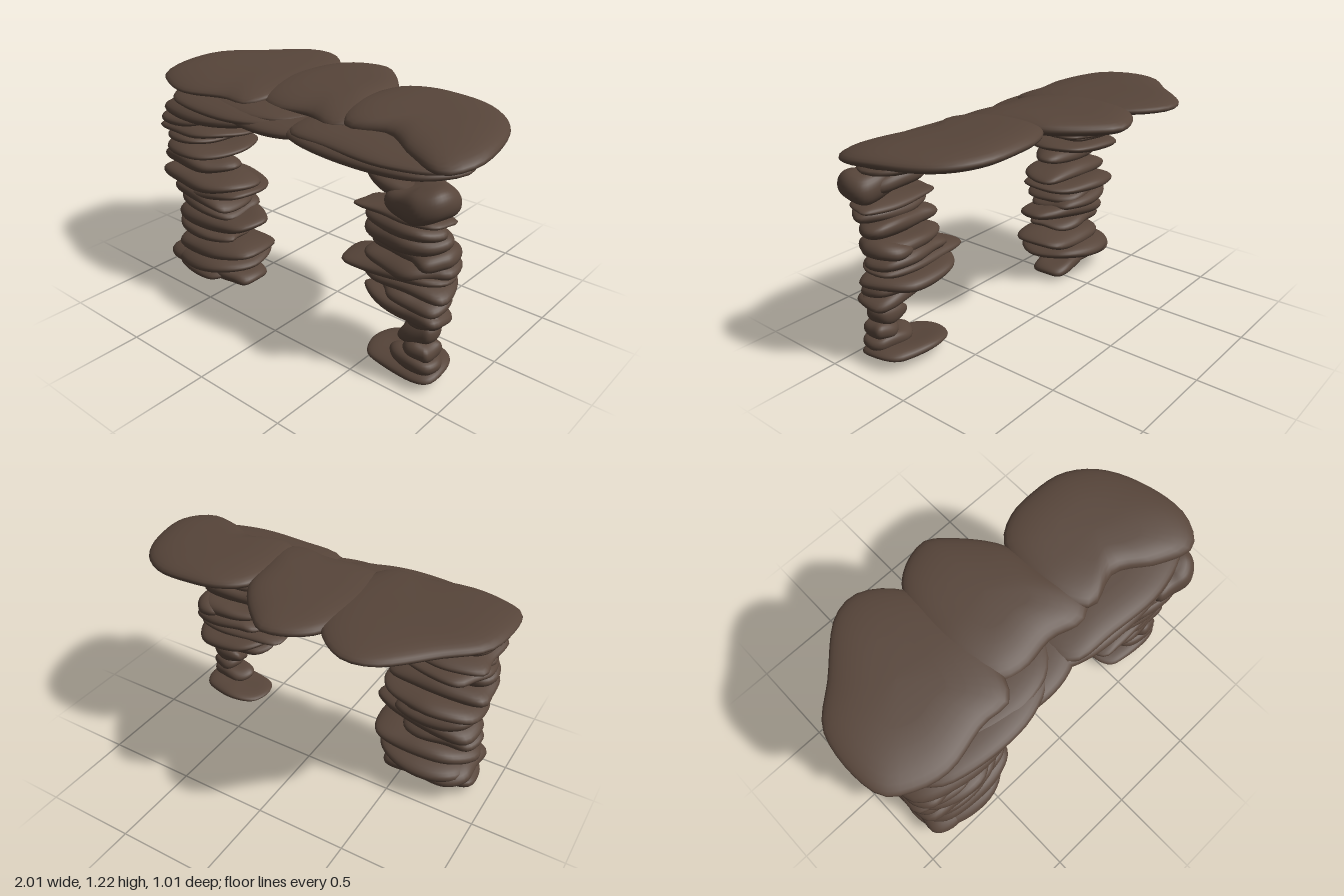
import * as THREE from 'three';

const rock = new THREE.MeshStandardMaterial({ color: 0x57453a });

// small seeded generator
function seeded(seed) {
  let s = seed * 7919 + 13;
  return () => {
    s = (s * 16807) % 2147483647;
    return s / 2147483647;
  };
}

// A smooth weathered slab: rounded rings that follow a closed outline of [x, z] points,
// listed clockwise from above. tiltX / tiltZ: rise over the full width / depth;
// taper: thinning towards +x or (negative) -x; droop: sinking of the front edge.
function slab(name, outline, y0, y1, { tiltX = 0, tiltZ = 0, taper = 0, droop = 0, seed = 1, wave = 0.08 } = {}) {
  const around = 48, rings = 16;
  const curve = new THREE.CatmullRomCurve3(outline.map(([x, z]) => new THREE.Vector3(x, 0, z)), true, 'centripetal');
  const edge = curve.getSpacedPoints(around).slice(0, around);
  const box = new THREE.Box3().setFromPoints(edge);
  const c = box.getCenter(new THREE.Vector3()), size = box.getSize(new THREE.Vector3());
  const mid = (y0 + y1) / 2, half = (y1 - y0) / 2;
  const positions = [], index = [];
  const put = (dx, dz, h) => {
    const u = (2 * dx) / size.x, v = (2 * dz) / size.z;
    const thick = half * (1 - Math.abs(taper) * Math.max(0, u * Math.sign(taper)));
    const swell = wave * half * 2 * Math.sin(u * 2.6 + seed * 1.7) * Math.cos(v * 2.3 + seed * 2.9);
    const lean = (tiltX * u + tiltZ * v) / 2 - droop * Math.max(0, v) ** 2;
    positions.push(c.x + dx, mid + h * thick + swell + lean, c.z + dz);
  };
  put(0, 0, -1);
  for (let i = 1; i < rings; i++) {
    const a = Math.PI * (i / rings - 0.5);
    const r = Math.pow(Math.cos(a), 0.5);
    for (const p of edge) put((p.x - c.x) * r, (p.z - c.z) * r, Math.sin(a));
  }
  put(0, 0, 1);
  const last = positions.length / 3 - 1;
  for (let j = 0; j < around; j++) {
    const k = (j + 1) % around;
    index.push(0, 1 + j, 1 + k);
    for (let i = 0; i < rings - 2; i++) {
      const a = 1 + i * around + j, b = 1 + i * around + k;
      index.push(a, a + around, b, b, a + around, b + around);
    }
    const top = 1 + (rings - 2) * around;
    index.push(last, top + k, top + j);
  }
  const geometry = new THREE.BufferGeometry();
  geometry.setAttribute('position', new THREE.Float32BufferAttribute(positions, 3));
  geometry.setIndex(index);
  geometry.computeVertexNormals();
  const mesh = new THREE.Mesh(geometry, rock);
  mesh.name = name;
  return mesh;
}

// An irregular rounded outline that fills the given rectangle
function boulderOutline(x0, x1, z0, z1, seed) {
  const rand = seeded(seed);
  const pts = [];
  for (let i = 0; i < 10; i++) {
    const a = (i / 10) * Math.PI * 2 + (rand() - 0.5) * 0.3;
    const r = 0.86 + rand() * 0.22;
    const power = (t) => Math.sign(t) * Math.pow(Math.abs(t), 0.75);
    pts.push([r * power(Math.cos(a)), r * power(Math.sin(a))]);
  }
  const fit = (axis, lo, hi) => {
    const v = pts.map((p) => p[axis]), a = Math.min(...v), b = Math.max(...v);
    for (const p of pts) p[axis] = lo + ((p[axis] - a) / (b - a)) * (hi - lo);
  };
  fit(0, x0, x1);
  fit(1, z0, z1);
  return pts;
}

// Stacked stones: [x0, x1, y0, y1, z0, z1, tiltX]
function pillar(name, stones, inward, seed) {
  const group = new THREE.Group();
  group.name = name;
  stones.forEach(([x0, x1, y0, y1, z0, z1, tiltX = 0], i) => {
    const s = seed + i;
    group.add(slab(`${name}Stone${i + 1}`, boulderOutline(x0, x1, z0, z1, s), y0, y1, {
      tiltX, tiltZ: 0.02 * Math.sin(s * 2.1), taper: 0.3 * inward, seed: s, wave: 0.1,
    }));
  });
  return group;
}

const RIGHT_STONES = [
  [-0.91, -0.52, 0.02, 0.11, 0.15, 0.43],
  [-0.69, -0.38, 0.01, 0.11, 0.13, 0.38, -0.03],
  [-0.9, -0.46, 0.09, 0.2, 0.06, 0.47, 0.02],
  [-0.89, -0.34, 0.11, 0.22, 0.03, 0.49, 0.04],
  [-0.9, -0.3, 0.18, 0.29, 0.1, 0.46, 0.06],
  [-0.9, -0.43, 0.27, 0.36, 0.15, 0.44],
  [-0.89, -0.3, 0.35, 0.46, 0.12, 0.43, 0.06],
  [-0.88, -0.44, 0.43, 0.53, 0.09, 0.43, -0.04],
  [-0.87, -0.44, 0.48, 0.58, 0.12, 0.44, -0.06],
  [-0.91, -0.35, 0.53, 0.62, 0.03, 0.43, 0.05],
  [-0.92, -0.36, 0.59, 0.69, 0.15, 0.47],
  [-0.92, -0.44, 0.68, 0.78, 0.21, 0.45],
  [-0.92, -0.42, 0.77, 0.85, 0.03, 0.49, 0.02],
  [-0.92, -0.55, 0.83, 0.9, 0.08, 0.46],
  [-0.92, -0.41, 0.87, 0.94, 0.03, 0.45, 0.03],
  [-0.91, -0.6, 0.92, 1.0, 0.1, 0.45],
];

const LEFT_STONES = [
  [0.48, 0.9, 0.03, 0.1, 0.13, 0.44],
  [0.63, 0.9, 0.07, 0.16, 0.26, 0.43],
  [0.72, 0.88, 0.14, 0.23, 0.27, 0.43],
  [0.68, 0.88, 0.21, 0.32, 0.26, 0.41, 0.04],
  [0.72, 0.9, 0.3, 0.39, 0.25, 0.41],
  [0.46, 0.91, 0.33, 0.42, 0.22, 0.43, -0.05],
  [0.56, 0.9, 0.39, 0.47, 0.2, 0.42, -0.03],
  [0.42, 0.91, 0.44, 0.53, 0.09, 0.42, -0.03],
  [0.34, 0.9, 0.5, 0.57, 0.16, 0.43, 0.02],
  [0.45, 0.91, 0.54, 0.63, 0.13, 0.43],
  [0.7, 0.91, 0.6, 0.69, 0.14, 0.42],
  [0.48, 0.89, 0.61, 0.7, 0.16, 0.4],
  [0.46, 0.9, 0.68, 0.78, 0.22, 0.45],
  [0.47, 0.9, 0.76, 0.84, 0.26, 0.47],
  [0.45, 0.91, 0.82, 0.87, 0.24, 0.45],
  [0.64, 0.94, 0.86, 1.02, 0.25, 0.5],
  [0.48, 0.86, 0.92, 1.02, 0.2, 0.44, -0.05],
];

export function createModel() {
  const model = new THREE.Group();
  model.name = 'stoneArch';
  model.add(pillar('rightPillar', RIGHT_STONES, 1, 11), pillar('leftPillar', LEFT_STONES, -1, 53));

  // lintel courses, stepping outwards towards the back
  const lintel = new THREE.Group();
  lintel.name = 'lintel';
  const course = (x0, x1, y0, y1, z0, z1, seed, opts) =>
    lintel.add(slab('lintelStone', boulderOutline(x0, x1, z0, z1, seed), y0, y1, { seed, wave: 0.06, ...opts }));
  course(-0.92, -0.18, 0.98, 1.08, 0.0, 0.48, 3, { tiltX: 0.04, tiltZ: -0.02 });
  course(-0.92, 0.03, 1.05, 1.13, -0.12, 0.48, 4, { tiltZ: -0.03 });
  course(-0.5, 0.3, 1.03, 1.12, -0.05, 0.45, 5, { tiltZ: -0.03 });
  course(-0.1, 0.93, 1.02, 1.11, 0.05, 0.47, 6, { tiltX: -0.01, tiltZ: -0.02 });
  course(0.0, 0.93, 1.06, 1.14, -0.12, 0.46, 7, { tiltZ: -0.04 });
  course(-0.75, 0.1, 1.08, 1.15, -0.24, 0.42, 8, { tiltZ: -0.04 });
  model.add(lintel);

  // three broad cap slabs
  const caps = new THREE.Group();
  caps.name = 'capSlabs';
  caps.add(
    slab('rightCap', [[-0.99, -0.09], [-0.82, -0.27], [-0.6, -0.48], [-0.46, -0.5], [-0.29, -0.37], [-0.2, -0.1],
      [-0.22, 0.22], [-0.29, 0.36], [-0.45, 0.36], [-0.7, 0.41], [-0.87, 0.37], [-0.99, 0.28]],
    1.125, 1.21, { tiltZ: -0.01, droop: 0.04, seed: 2, wave: 0.03 }),
    slab('middleCap', [[-0.3, -0.35], [-0.2, -0.45], [-0.05, -0.49], [0.03, -0.44], [0.21, -0.22], [0.26, 0],
      [0.31, 0.25], [0.23, 0.32], [0.05, 0.28], [-0.15, 0.3], [-0.28, 0.25], [-0.37, 0]],
    1.115, 1.215, { droop: 0.04, seed: 4, wave: 0.03 }),
    slab('leftCap', [[0.22, -0.21], [0.35, -0.3], [0.52, -0.32], [0.7, -0.3], [0.85, -0.2], [0.95, -0.02],
      [0.99, 0.28], [0.9, 0.41], [0.7, 0.36], [0.5, 0.25], [0.3, 0.3], [0.18, 0.1]],
    1.1, 1.205, { tiltX: -0.03, tiltZ: -0.02, droop: 0.03, seed: 5, wave: 0.03 }),
  );
  model.add(caps);
  return model;
}
